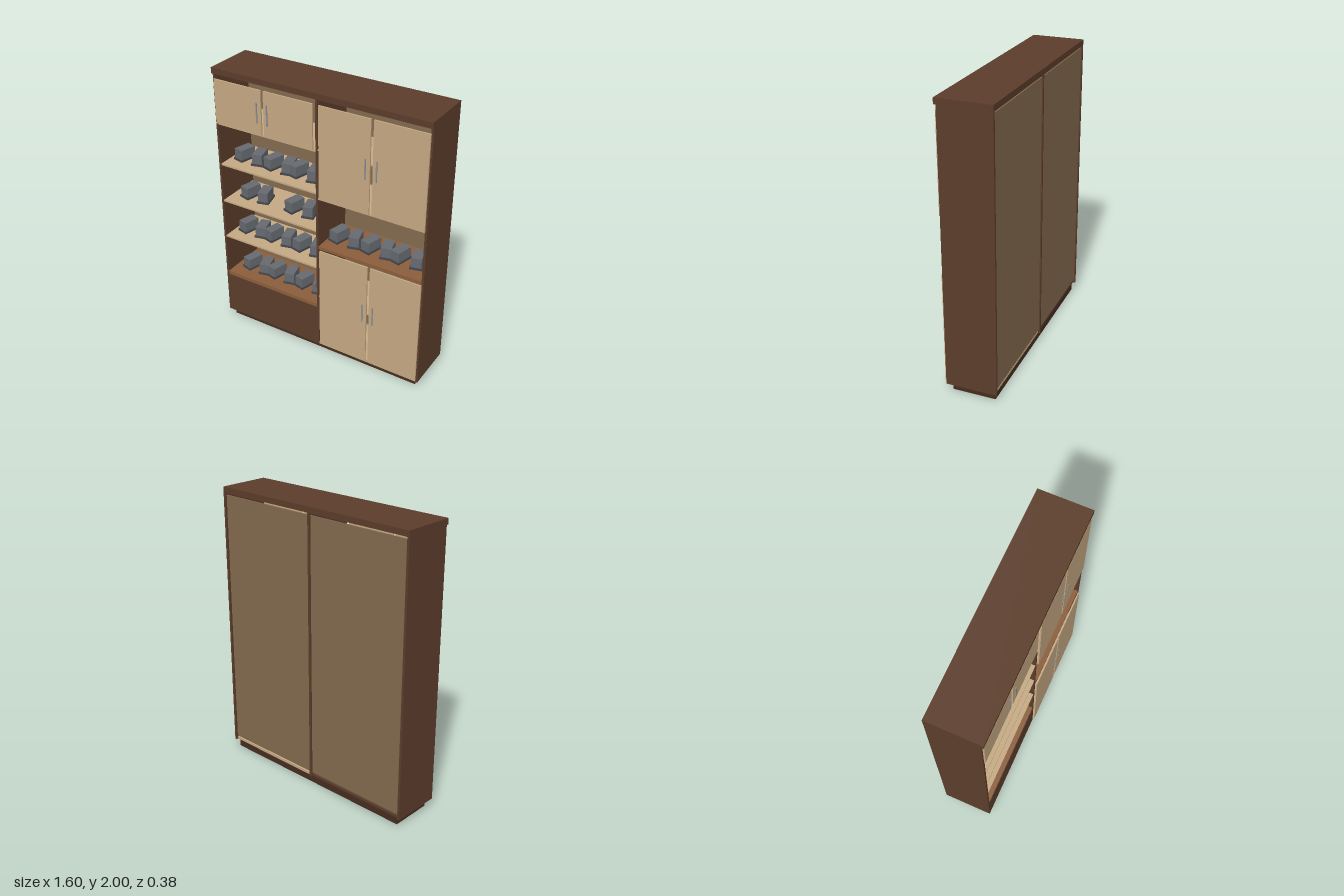
import * as THREE from 'three';

const mat = (color) => new THREE.MeshStandardMaterial({ color });

export function createModel() {
  const root = new THREE.Group();
  const frame = mat(0x5c3d2b), plinth = mat(0x452d1f), pale = mat(0xc4a882);
  const back = mat(0x836a4e), warm = mat(0x8b5e3c), metal = mat(0x8c9096);
  const leather = mat(0x666a70), rubber = mat(0x45474c);

  // Box given by its limits on each axis
  const box = (name, m, x0, x1, y0, y1, z0, z1, parent = root) => {
    const mesh = new THREE.Mesh(new THREE.BoxGeometry(x1 - x0, y1 - y0, z1 - z0), m);
    mesh.position.set((x0 + x1) / 2, (y0 + y1) / 2, (z0 + z1) / 2);
    mesh.name = name;
    parent.add(mesh);
    return mesh;
  };

  // Carcass
  const B = -0.187, F = 0.17;
  box('plinth', plinth, -0.765, 0.765, 0, 0.055, -0.165, 0.135);
  box('topPanel', frame, -0.798, 0.798, 1.96, 2, B, 0.185);
  box('rightSide', frame, -0.798, -0.782, 0.055, 1.96, B, F);
  box('leftSide', frame, 0.782, 0.798, 0.055, 1.96, B, F);
  box('divider', frame, -0.008, 0.008, 0.055, 1.96, B, F);
  box('lowerFrontPanel', frame, -0.782, -0.008, 0.055, 0.375, 0.155, F);
  box('lowerFloor', frame, -0.782, -0.008, 0.055, 0.071, -0.17, 0.155);
  box('backPanelRight', back, -0.775, -0.012, 0.09, 1.945, -0.18, -0.172);
  box('backPanelLeft', back, 0.012, 0.775, 0.09, 1.945, -0.18, -0.172);

  // Shelves: [side, bottom, top, material]
  const shelves = [
    [-1, 1.592, 1.604, pale], [-1, 1.284, 1.296, pale], [-1, 0.996, 1.008, pale],
    [-1, 0.702, 0.714, pale], [-1, 0.375, 0.402, warm],
    [1, 1.25, 1.262, pale], [1, 0.866, 0.888, warm], [1, 0.055, 0.073, pale],
    [1, 1.604, 1.614, pale], [1, 0.468, 0.478, pale],
  ];
  for (const [s, y0, y1, m] of shelves) {
    box('shelf', m, s < 0 ? -0.782 : 0.008, s < 0 ? -0.008 : 0.782, y0, y1, -0.172, 0.168);
  }

  // Door pairs with bar handles beside the middle gap: [centre x, bottom, top, handle bottom]
  const doors = [[-0.405, 1.606, 1.922, 1.69], [0.403, 1.262, 1.922, 1.51], [0.403, 0.073, 0.86, 0.41]];
  for (const [cx, y0, y1, h] of doors) {
    for (const s of [-1, 1]) {
      const door = new THREE.Group();
      door.name = 'door';
      root.add(door);
      const a = cx + s * 0.01, b = cx + s * 0.382, hx = cx + s * 0.04;
      box('doorPanel', pale, Math.min(a, b), Math.max(a, b), y0, y1, F, 0.181, door);
      box('handle', metal, hx - 0.004, hx + 0.004, h, h + 0.145, 0.184, 0.19, door);
      for (const py of [h + 0.01, h + 0.127]) {
        box('handlePost', metal, hx - 0.003, hx + 0.003, py, py + 0.008, 0.181, 0.184, door);
      }
    }
  }

  // Pairs of shoes, toes turned outward: [shelf top, pair centres]
  const rows = [
    [1.296, [-0.63, -0.385, -0.18]], [1.008, [-0.595, -0.222]],
    [0.714, [-0.63, -0.405, -0.165]], [0.402, [-0.61, -0.39, -0.148]],
    [0.888, [0.143, 0.387, 0.61]],
  ];
  for (const [y, centres] of rows) {
    for (const cx of centres) {
      for (const s of [-1, 1]) {
        const shoe = new THREE.Group();
        shoe.name = 'shoe';
        box('sole', rubber, -0.043, 0.043, 0, 0.014, -0.065, 0.068, shoe);
        box('upper', leather, -0.036, 0.036, 0.014, 0.083, -0.06, 0.06, shoe);
        shoe.position.set(cx + s * 0.064, y, 0.01);
        shoe.rotation.y = s * 0.25;
        root.add(shoe);
      }
    }
  }
  return root;
}
